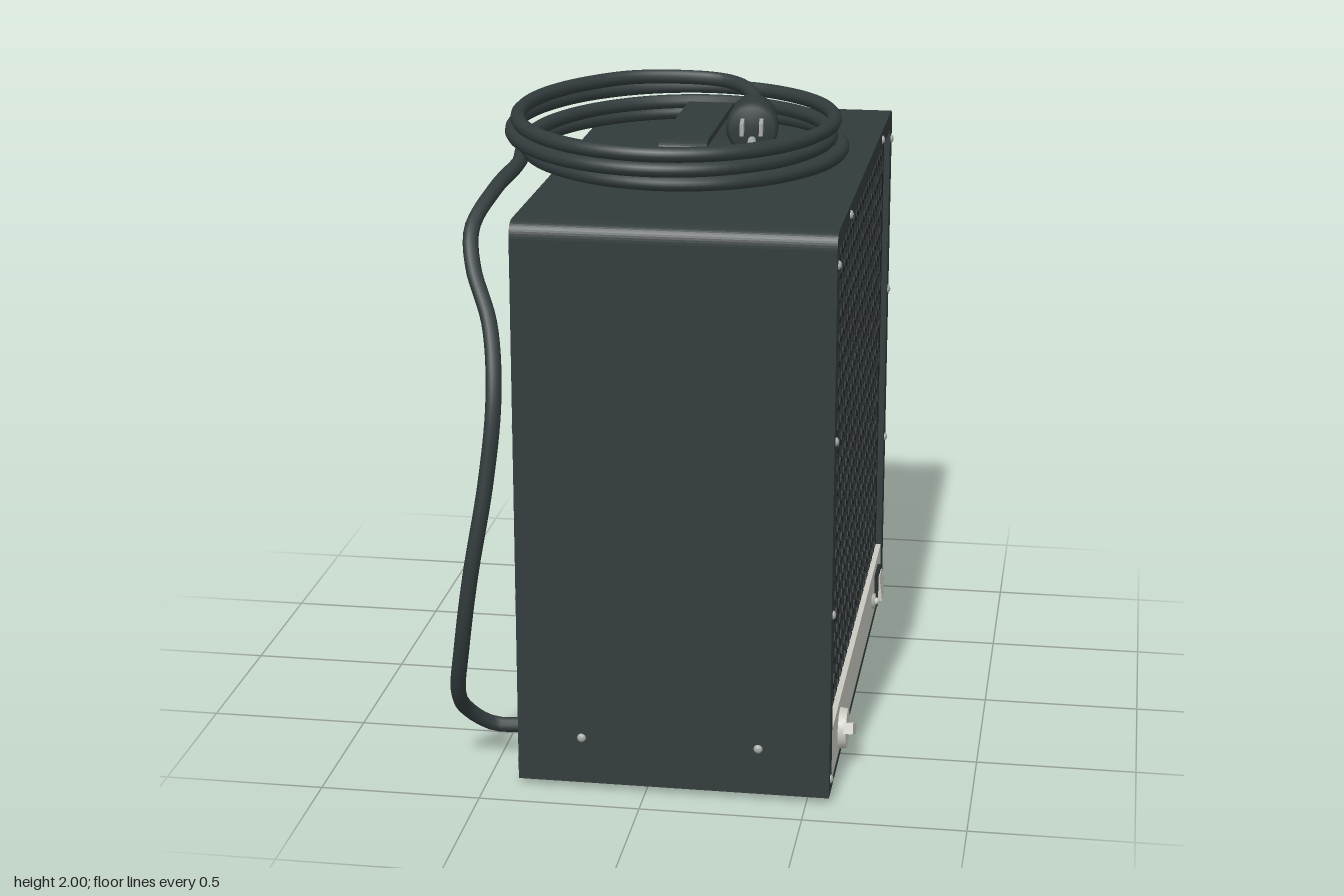
import * as THREE from 'three';

const CZ = -0.03, CY = 0.97, X0 = -0.4, X1 = 0.57; // fan axis and body depth
const mat = (color, side = THREE.FrontSide) => new THREE.MeshStandardMaterial({ color, side });
const dark = mat(0x323b3c), black = mat(0x252b2c), pale = mat(0xc9c9c1);
const ductGrey = mat(0xaab0ad, THREE.DoubleSide), steel = mat(0xa8aba8), bladeMat = mat(0x343c3d, THREE.DoubleSide);

function add(parent, name, geometry, material, x = 0, y = 0, z = 0) {
  const mesh = new THREE.Mesh(geometry, material);
  mesh.name = name;
  mesh.position.set(x, y, z);
  parent.add(mesh);
  return mesh;
}

// Extrudes a shape drawn in (-z, y) along x, starting at x
function extrudeX(shape, x, depth, curveSegments = 12) {
  return new THREE.ExtrudeGeometry(shape, { depth, bevelEnabled: false, curveSegments })
    .rotateY(Math.PI / 2).translate(x, 0, 0);
}

function rect(PathType, u0, v0, u1, v1) {
  const p = new PathType();
  p.moveTo(u0, v0); p.lineTo(u1, v0); p.lineTo(u1, v1); p.lineTo(u0, v1); p.closePath();
  return p;
}

// Cabinet outline with rounded upper corners
function cabinetShape() {
  const s = new THREE.Shape(), a = -0.88, b = 0.94, t = 1.8, r = 0.05;
  s.moveTo(a, 0.02); s.lineTo(b, 0.02); s.lineTo(b, t - r);
  s.quadraticCurveTo(b, t, b - r, t); s.lineTo(a + r, t);
  s.quadraticCurveTo(a, t, a, t - r); s.closePath();
  return s;
}

function circleHole(radius) {
  return new THREE.Path().absarc(-CZ, CY, radius, 0, Math.PI * 2, true);
}

function hexGrille(x) {
  const u0 = -0.83, u1 = 0.89, v0 = 0.2, v1 = 1.76, pitch = 0.08, r = 0.0385;
  const s = rect(THREE.Shape, u0, v0, u1, v1);
  for (let row = 0, v = v0 + 0.045; v < v1 - 0.04; row++, v += pitch * 0.866) {
    for (let u = u0 + 0.045 + (row % 2) * pitch / 2; u < u1 - 0.04; u += pitch) {
      const hole = new THREE.Path();
      for (let k = 0; k < 6; k++) {
        const a = Math.PI / 6 - k * Math.PI / 3;
        hole[k ? 'lineTo' : 'moveTo'](u + r * Math.cos(a), v + r * Math.sin(a));
      }
      hole.closePath();
      s.holes.push(hole);
    }
  }
  return extrudeX(s, x, 0.01);
}

function tube(points, radius, segments = 40, sides = 10) {
  const curve = new THREE.CatmullRomCurve3(points.map(p => new THREE.Vector3(...p)));
  return new THREE.TubeGeometry(curve, segments, radius, sides);
}

const discX = (r, depth, seg = 32, r2 = r) => new THREE.CylinderGeometry(r2, r, depth, seg).rotateZ(-Math.PI / 2);
const ringX = (r, t) => new THREE.TorusGeometry(r, t, 8, 72).rotateY(Math.PI / 2);

// Heating element path; the finned version winds tightly around it
class CoilCurve extends THREE.Curve {
  constructor(wraps, finRadius) { super(); this.wraps = wraps; this.fin = finRadius; }
  getPoint(t, target = new THREE.Vector3()) {
    const a = -Math.PI / 2 + t * Math.PI * 8, w = t * this.wraps * Math.PI * 2;
    const r = 0.61 - 0.04 * t + this.fin * Math.cos(w);
    return target.set(0.44 - 0.42 * t + this.fin * Math.sin(w), CY + r * Math.sin(a), CZ + r * Math.cos(a));
  }
}

function buildCabinet(g) {
  const shell = cabinetShape();
  shell.holes.push(rect(THREE.Path, -0.86, 0.04, 0.92, 1.78));
  add(g, 'cabinetShell', extrudeX(shell, X0, X1 - X0), dark);
  for (const front of [true, false]) {
    const x = front ? X1 : X0, s = front ? 1 : -1, side = front ? 'front' : 'back';
    const frame = cabinetShape();
    frame.holes.push(rect(THREE.Path, -0.81, 0.03, 0.87, 1.74));
    add(g, side + 'Frame', extrudeX(frame, front ? x - 0.02 : x, 0.02), dark);
    add(g, side + 'Grille', hexGrille(front ? x - 0.03 : x + 0.02), black);
    add(g, side + 'LowerPanel', new THREE.BoxGeometry(0.02, 0.185, 1.68), pale, x - s * 0.012, 0.118, CZ);
    const baffle = rect(THREE.Shape, -0.86, 0.04, 0.92, 1.78);
    baffle.holes.push(circleHole(0.735));
    add(g, side + 'Baffle', extrudeX(baffle, front ? x - 0.06 : x + 0.05, 0.01, 36), ductGrey);
    // Frame screws
    for (const y of [0.07, 0.61, 1.16, 1.7])
      for (const z of [0.845, -0.905]) screw(g, x, y, z, 'x');
    for (const z of [0.51, -0.56]) screw(g, x, 1.77, z, 'x');
  }
  add(g, 'airDuct', new THREE.CylinderGeometry(0.735, 0.735, 0.86, 72, 1, true).rotateZ(Math.PI / 2),
    ductGrey, 0.085, CY, CZ);
  for (const x of [-0.2, 0.35])
    for (const z of [0.88, -0.94]) screw(g, x, 0.17, z, 'z');
  for (const x of [-0.3, 0.47])
    for (const z of [0.77, -0.83])
      add(g, 'foot', new THREE.CylinderGeometry(0.065, 0.055, 0.025, 24), black, x, 0.0125, z);
}

function screw(g, x, y, z, axis) {
  const m = add(g, 'screw', new THREE.SphereGeometry(0.014, 12, 8), steel, x, y, z);
  m.scale[axis] = 0.7;
}

function buildFan(g) {
  const fan = new THREE.Group();
  fan.name = 'fan';
  fan.position.set(-0.2, CY, CZ);
  g.add(fan);
  // Pitched blade, widening to the tip
  const blade = new THREE.PlaneGeometry(1, 1, 6, 8), p = blade.attributes.position;
  for (let i = 0; i < p.count; i++) {
    const u = p.getX(i), v = p.getY(i) + 0.5;
    const r = 0.1 + 0.44 * v, w = 0.09 + 0.2 * v, a = u * w / r;
    p.setXYZ(i, u * w * 0.65 + 0.03 * (1 - 4 * u * u) * v, r * Math.cos(a), r * Math.sin(a));
  }
  blade.computeVertexNormals();
  for (let k = 0; k < 6; k++)
    add(fan, 'fanBlade', blade, bladeMat).rotation.x = k * Math.PI / 3 - 0.33;
  add(fan, 'hub', discX(0.135, 0.1, 32, 0.115), dark);
  add(fan, 'hubRim', ringX(0.125, 0.01), black, 0.04);
  add(fan, 'shaft', discX(0.025, 0.08, 16), steel, 0.06);
  add(fan, 'motor', discX(0.11, 0.12), black, -0.1);
  // Wire guard behind the fan
  add(g, 'guardOuterRing', ringX(0.735, 0.015), black, -0.37, CY, CZ);
  add(g, 'guardInnerRing', ringX(0.48, 0.009), black, -0.36, CY, CZ);
  add(g, 'guardHubRing', ringX(0.13, 0.01), black, -0.36, CY, CZ);
  for (let k = 0; k < 4; k++) {
    const strut = new THREE.CylinderGeometry(0.01, 0.01, 0.64, 8).translate(0, 0.42, 0);
    add(g, 'guardStrut', strut, black, -0.36, CY, CZ).rotation.x = k * Math.PI / 2;
  }
}

function buildHeater(g) {
  add(g, 'heatingTube', new THREE.TubeGeometry(new CoilCurve(0, 0), 240, 0.02, 8), dark);
  add(g, 'heatingFins', new THREE.TubeGeometry(new CoilCurve(440, 0.037), 3520, 0.007, 3), dark);
  for (const [x, z] of [[0.44, -0.03], [0.02, 0.02]])
    add(g, 'heaterTerminal', tube([[x, 0.38, z - 0.03], [x, 0.37, z + 0.03], [x, 0.31, z + 0.04], [x, 0.23, z + 0.01]], 0.018, 16), steel);
}

function buildControls(g) {
  add(g, 'knobSkirt', discX(0.066, 0.025, 32, 0.062), pale, X1 + 0.012, 0.12, 0.57);
  const grip = add(g, 'knobGrip', new THREE.BoxGeometry(0.03, 0.035, 0.125), pale, X1 + 0.032, 0.12, 0.57);
  grip.rotation.x = -0.4;
  add(g, 'lampBezel', discX(0.027, 0.012, 6), steel, X1 + 0.004, 0.115, -0.55);
  add(g, 'lamp', new THREE.SphereGeometry(0.014, 12, 8), pale, X1 + 0.01, 0.115, -0.55);
  add(g, 'switchBezel', new THREE.BoxGeometry(0.014, 0.115, 0.115), black, X1 + 0.004, 0.12, -0.695);
  const rocker = add(g, 'switchRocker', new THREE.BoxGeometry(0.02, 0.09, 0.09), pale, X1 + 0.01, 0.12, -0.695);
  rocker.rotation.z = 0.12;
}

function buildHandle(g) {
  const s = new THREE.Shape(), a = -0.31, b = 0.37, base = 1.795, top = 1.93, t = 0.02;
  s.moveTo(a, base); s.lineTo(a + t, base); s.lineTo(a + t, top - 0.06);
  s.quadraticCurveTo(a + t, top - t, a + 0.07, top - t); s.lineTo(b - 0.07, top - t);
  s.quadraticCurveTo(b - t, top - t, b - t, top - 0.06); s.lineTo(b - t, base);
  s.lineTo(b, base); s.lineTo(b, top - 0.06); s.quadraticCurveTo(b, top, b - 0.07, top);
  s.lineTo(a + 0.07, top); s.quadraticCurveTo(a, top, a, top - 0.06); s.closePath();
  add(g, 'handle', extrudeX(s, -0.05, 0.15), dark);
}

function buildCord(g) {
  const path = [[-0.4, 0.11, 0.67], [-0.52, 0.11, 0.68], [-0.59, 0.18, 0.74], [-0.6, 0.27, 0.82], [-0.57, 0.45, 0.89],
    [-0.53, 0.7, 0.92], [-0.48, 1.0, 0.9], [-0.46, 1.25, 0.86], [-0.49, 1.45, 0.76], [-0.56, 1.6, 0.66],
    [-0.58, 1.7, 0.58], [-0.54, 1.79, 0.42], [-0.51, 1.825, 0.22]];
  // Three loose loops stacked on the lid
  const steps = 16;
  for (let i = 0; i <= steps * 3 + 3; i++) {
    const turn = i / steps, a = turn * Math.PI * 2, wob = 0.02 * Math.sin(a * 0.5 + 1);
    path.push([-0.02 - (0.5 + wob) * Math.cos(a) - 0.012 * turn, 1.826 + 0.045 * turn,
      -(0.58 + wob) * Math.sin(a) - 0.01 + 0.006 * turn]);
  }
  path.push([0.02, 1.96, -0.55], [0.12, 1.95, -0.47], [0.165, 1.93, -0.36], [0.175, 1.92, -0.25]);
  add(g, 'powerCord', tube(path, 0.024, 420, 10), dark);
  add(g, 'cordGrommet', discX(0.045, 0.03, 20), black, X0 - 0.01, 0.11, 0.67);
  // Plug lies on its side, prongs toward +z
  const plug = new THREE.Group();
  plug.name = 'plug';
  plug.position.set(0.175, 1.917, -0.28);
  plug.rotation.y = 0.1;
  g.add(plug);
  const profile = [[0, 0], [0.035, 0], [0.04, 0.05], [0.05, 0.07], [0.075, 0.12], [0.075, 0.22],
    [0.083, 0.23], [0.083, 0.29], [0.07, 0.31], [0, 0.31]].map(p => new THREE.Vector2(...p));
  const body = new THREE.LatheGeometry(profile, 24).rotateX(Math.PI / 2);
  add(plug, 'plugBody', body, dark);
  for (const x of [-0.03, 0.03])
    add(plug, 'plugBlade', new THREE.BoxGeometry(0.012, 0.04, 0.09), steel, x, 0.015, 0.35);
  add(plug, 'groundPin', new THREE.CylinderGeometry(0.013, 0.013, 0.1, 12).rotateX(Math.PI / 2), steel, 0, -0.035, 0.35);
}

export function createModel() {
  const g = new THREE.Group();
  g.name = 'fanHeater';
  for (const build of [buildCabinet, buildFan, buildHeater, buildControls, buildHandle, buildCord]) build(g);
  return g;
}
